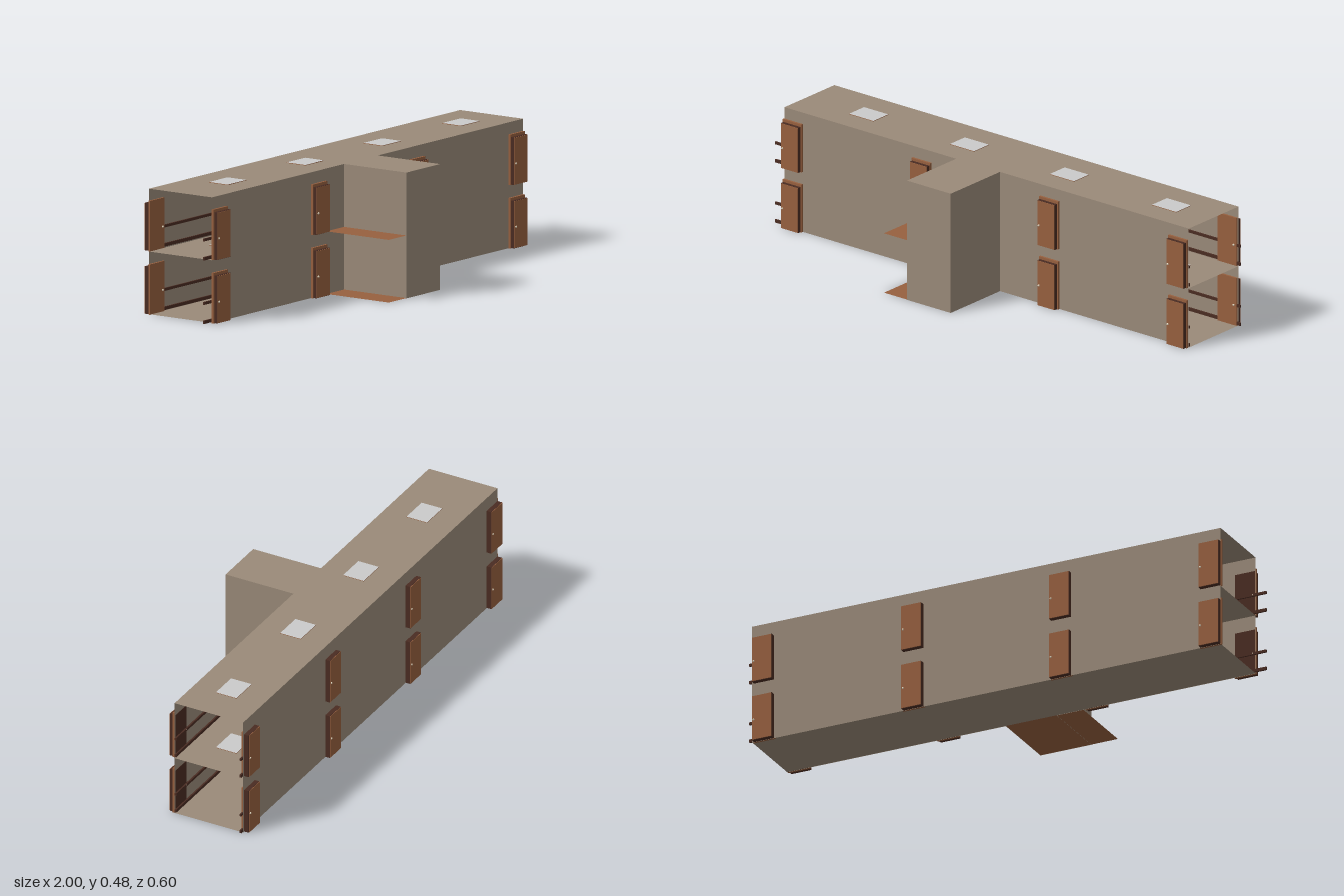
import * as THREE from 'three';

const wall = new THREE.MeshStandardMaterial({ color: 0x9a8a79, side: THREE.DoubleSide });
wall.name = 'plaster';
const wood = new THREE.MeshStandardMaterial({ color: 0x97603f, side: THREE.DoubleSide });
wood.name = 'wood';
const dark = new THREE.MeshStandardMaterial({ color: 0x4a2c22 });
dark.name = 'darkWood';
const light = new THREE.MeshStandardMaterial({ color: 0xcacaca });
light.name = 'lightPanel';
const cream = new THREE.MeshStandardMaterial({ color: 0xe8dcc4 });
cream.name = 'knob';

// Corridor and stairwell limits
const X0 = -0.953, X1 = 0.985, Z0 = -0.28, Z1 = 0.01;
const SX0 = -0.13, SX1 = 0.08, SZ = 0.297;
const MID = 0.237, TOP = 0.474;

// Box given by its minimum and maximum corners
function box(parent, name, mat, x0, x1, y0, y1, z0, z1) {
  const m = new THREE.Mesh(new THREE.BoxGeometry(x1 - x0, y1 - y0, z1 - z0), mat);
  m.position.set((x0 + x1) / 2, (y0 + y1) / 2, (z0 + z1) / 2);
  m.name = name;
  parent.add(m);
  return m;
}

// Flat sheets: horizontal, facing z, facing x
function slab(parent, name, mat, x0, x1, z0, z1, y) {
  const m = new THREE.Mesh(new THREE.PlaneGeometry(x1 - x0, z1 - z0), mat);
  m.rotation.x = -Math.PI / 2;
  m.position.set((x0 + x1) / 2, y, (z0 + z1) / 2);
  m.name = name;
  parent.add(m);
}
function wallZ(parent, name, x0, x1, z, flip) {
  const m = new THREE.Mesh(new THREE.PlaneGeometry(x1 - x0, TOP), wall);
  if (flip) m.rotation.y = Math.PI;
  m.position.set((x0 + x1) / 2, TOP / 2, z);
  m.name = name;
  parent.add(m);
}
function wallX(parent, name, x, z0, z1, sign) {
  const m = new THREE.Mesh(new THREE.PlaneGeometry(z1 - z0, TOP), wall);
  m.rotation.y = sign * Math.PI / 2;
  m.position.set(x, TOP / 2, (z0 + z1) / 2);
  m.name = name;
  parent.add(m);
}

// Door with its outer face towards +z, wall plane at z = 0
function door(name, trimZ) {
  const g = new THREE.Group();
  g.name = name;
  box(g, 'doorTrim', wood, -0.045, 0.045, 0, 0.19, trimZ, trimZ + 0.009);
  box(g, 'doorFrame', dark, -0.041, 0.041, 0.001, 0.18, -0.001, 0.0225);
  box(g, 'doorLeaf', wood, -0.04, 0.04, 0.002, 0.179, 0.0225, 0.025);
  for (const z of [0.026, trimZ < 0 ? trimZ - 0.002 : -0.004]) {
    const knob = new THREE.Mesh(new THREE.SphereGeometry(0.004, 8, 6), cream);
    knob.position.set(-0.033, 0.082, z);
    knob.name = 'doorKnob';
    g.add(knob);
  }
  return g;
}

export function createModel() {
  const model = new THREE.Group();
  model.name = 'corridorBuilding';

  // Open-ended two-storey corridor
  wallZ(model, 'backWall', X0, X1, Z0, true);
  wallZ(model, 'frontWallRight', X0, SX0, Z1, false);
  wallZ(model, 'frontWallLeft', SX1, X1, Z1, false);
  slab(model, 'groundFloor', wall, X0, X1, Z0, Z1, 0.001);
  slab(model, 'upperFloor', wall, X0, X1, Z0, Z1, MID);
  slab(model, 'roof', wall, X0, X1, Z0, Z1, TOP);

  // Stairwell block with wooden landings running out at one side
  wallZ(model, 'stairwellFront', SX0, SX1, SZ, false);
  wallX(model, 'stairwellLeftWall', SX1, Z1, SZ, 1);
  wallX(model, 'stairwellRightWall', SX0, Z1, SZ, -1);
  slab(model, 'stairwellRoof', wall, SX0, SX1, Z1, SZ, TOP);
  slab(model, 'lowerLanding', wood, -0.24, SX1, Z1, SZ, 0.001);
  slab(model, 'upperLanding', wood, -0.24, SX1, Z1, SZ, MID);

  const doorX = [-0.91, -0.292, 0.32, 0.938];
  const lampX = [-0.665, -0.182, 0.297, 0.787];
  for (const y of [0, 0.239]) {
    // Doors on both long walls
    for (const x of doorX) {
      const front = door('frontDoor', 0.0005);
      front.position.set(x, y, Z1);
      model.add(front);
      const back = door('backDoor', -0.0095);
      back.rotation.y = Math.PI;
      back.position.set(x - 0.002, y, Z0);
      back.scale.z = 0.85;
      model.add(back);
    }
    // Handrails and skirting inside, overrunning the open ends
    for (const [h, t] of [[0.076, 0.01], [0.004, 0.012]]) {
      for (const [a, b] of [[-1, SX0], [SX1, X1]]) {
        box(model, 'frontRail', dark, a, b, y + h, y + h + t, Z1 - 0.007, Z1 - 0.0005);
      }
      box(model, 'backRail', dark, X0, 0.998, y + h, y + h + t, Z0 + 0.0005, Z0 + 0.007);
    }
  }

  // Ceiling light panels with wooden edges
  for (const y of [MID, TOP]) {
    for (const x of lampX) {
      const lamp = box(model, 'ceilingPanel', [wood, wood, light, light, wood, wood],
        x - 0.058, x + 0.058, y - 0.002, y + 0.002, -0.174, -0.087);
      lamp.name = y === TOP ? 'roofPanel' : 'ceilingPanel';
    }
  }
  return model;
}
